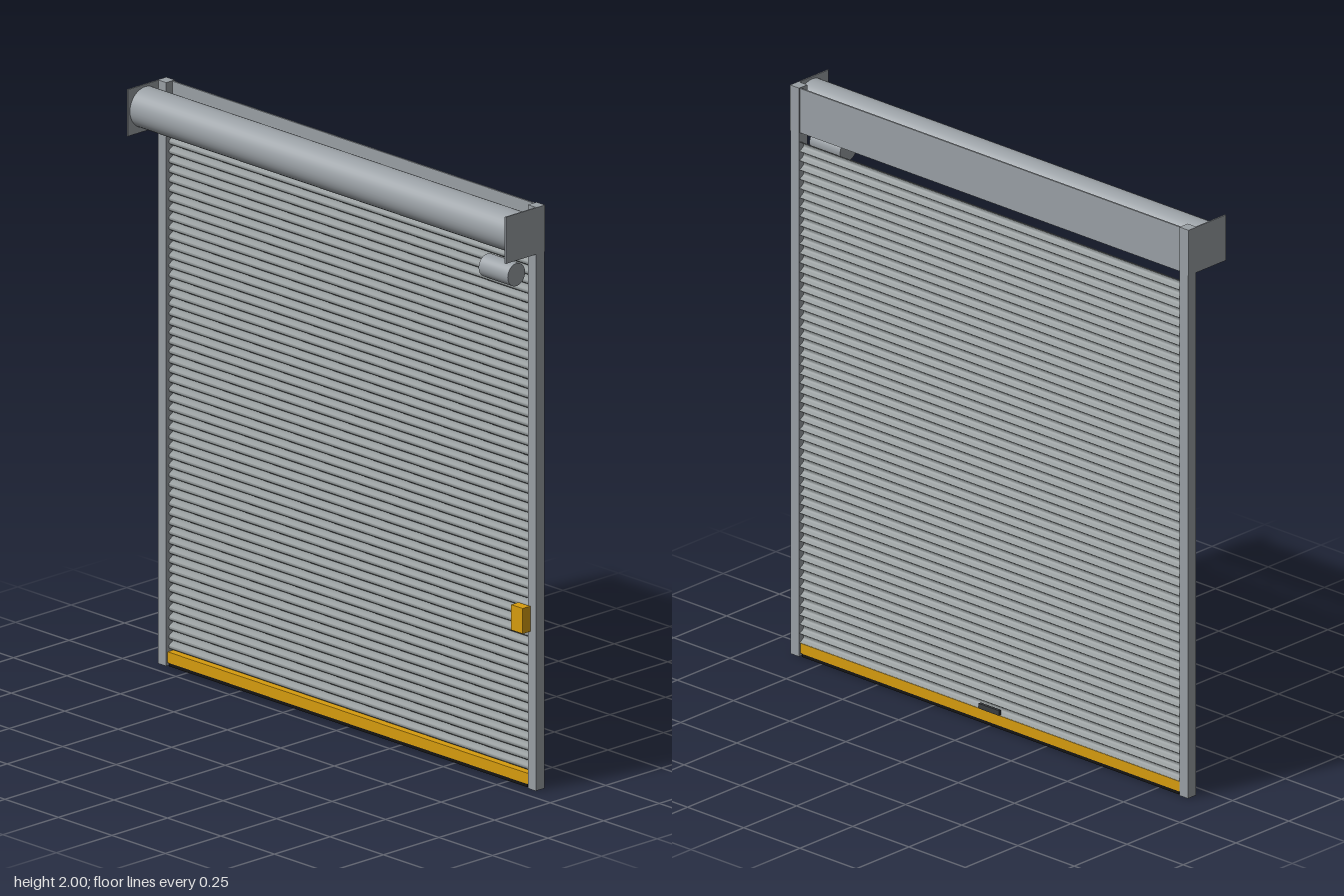
import * as THREE from 'three';
import { toCreasedNormals } from 'three/addons/utils/BufferGeometryUtils.js';

const material = (name, color) => {
  const m = new THREE.MeshStandardMaterial({ color });
  m.name = name;
  return m;
};

export function createModel() {
  const model = new THREE.Group();
  model.name = 'rollerShutter';

  const steel = material('galvanized steel', 0x9aa0a5);
  const slatGrey = material('slat grey', 0x8f9596);
  const yellow = material('safety yellow', 0xd79c0e);
  const black = material('black rubber', 0x141414);
  const darkSteel = material('dark steel', 0x3a3d40);

  const add = (name, geometry, mat, parent = model) => {
    const mesh = new THREE.Mesh(geometry, mat);
    mesh.name = name;
    parent.add(mesh);
    return mesh;
  };

  // box given by its lower and upper limits on each axis
  const box = (name, [x0, x1], [y0, y1], [z0, z1], mat) => {
    const mesh = add(name, new THREE.BoxGeometry(x1 - x0, y1 - y0, z1 - z0), mat);
    mesh.position.set((x0 + x1) / 2, (y0 + y1) / 2, (z0 + z1) / 2);
    return mesh;
  };

  // cylinder lying along x
  const rod = (name, x0, x1, y, z, r, mat) => {
    const mesh = add(name, new THREE.CylinderGeometry(r, r, x1 - x0, 40), mat);
    mesh.rotation.z = Math.PI / 2;
    mesh.position.set((x0 + x1) / 2, y, z);
    return mesh;
  };

  // side guide rails and the end plates that carry the barrel
  for (const [side, s] of [['left', 1], ['right', -1]]) {
    const span = (a, b) => (s > 0 ? [a, b] : [-b, -a]);
    box(side + 'GuideRail', span(0.846, 0.883), [0, 2], [-0.087, -0.048], steel);
    box(side + 'EndPlate', span(0.881, 0.886), [1.84, 2], [-0.087, 0.09], steel);
  }

  // barrel, rear hood panel and drive motor
  rod('barrel', -0.881, 0.881, 1.923, 0.012, 0.069, steel);
  box('rearPanel', [-0.847, 0.847], [1.842, 1.998], [-0.083, -0.077], steel);
  rod('motor', 0.73, 0.866, 1.782, 0.023, 0.039, steel);

  // curtain: curved slats, bulging to the front and hollow at the back
  const bottom = 0.048, top = 1.81, count = 54;
  const pitch = (top - bottom) / count;
  const zBack = -0.085, bulge = 0.02, thickness = 0.005, steps = 10;
  const profile = [];
  const arc = (i, z0) => {
    const t = i / steps;
    const z = z0 + bulge * Math.sin(Math.PI * t);
    return new THREE.Vector2(-z, t * pitch);
  };
  for (let i = 0; i <= steps; i++) profile.push(arc(i, zBack + thickness));
  for (let i = steps; i >= 0; i--) profile.push(arc(i, zBack));
  const width = 1.692;
  const slatGeometry = new THREE.ExtrudeGeometry(new THREE.Shape(profile), {
    depth: width, bevelEnabled: false, steps: 1,
  });
  slatGeometry.translate(0, 0, -width / 2);
  slatGeometry.rotateY(Math.PI / 2);
  const smoothSlat = toCreasedNormals(slatGeometry, 0.6);

  const curtain = new THREE.Group();
  curtain.name = 'curtain';
  model.add(curtain);
  for (let i = 0; i < count; i++) {
    add('slat', smoothSlat, slatGrey, curtain).position.y = bottom + i * pitch;
  }

  // bottom bar with rubber seal and rear lift handle
  box('bottomBar', [-0.843, 0.843], [0.012, 0.049], [-0.084, -0.052], yellow);
  box('bottomSeal', [-0.838, 0.838], [0, 0.012], [-0.082, -0.054], black);
  box('liftHandle', [-0.045, 0.045], [0.05, 0.068], [-0.09, -0.08], darkSteel);

  // control box on the left rail
  box('controlBox', [0.803, 0.857], [0.54, 0.627], [-0.048, -0.014], yellow);

  return model;
}
